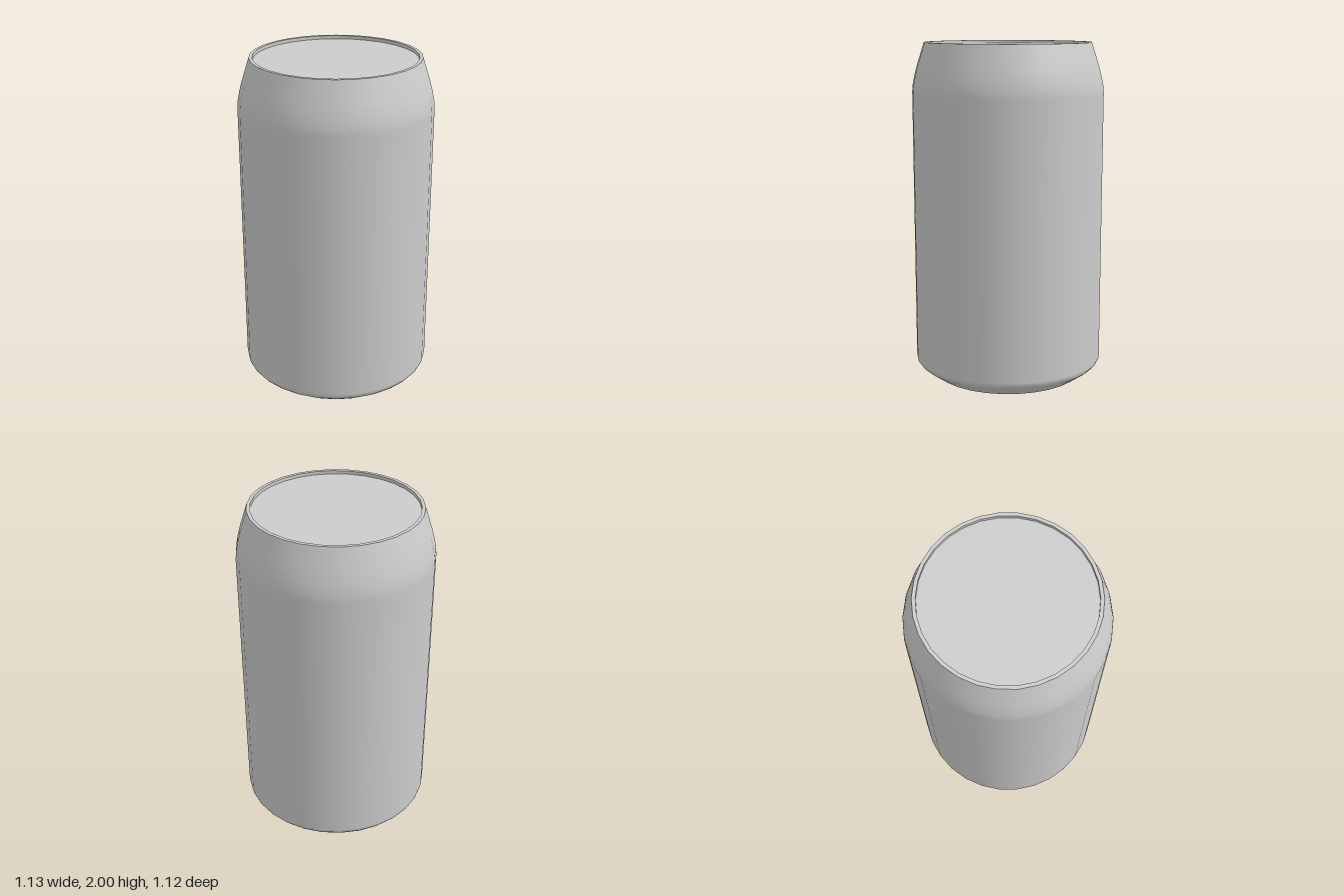
import * as THREE from 'three';

const SIDES = 30;

export function createModel() {
  const model = new THREE.Group();
  model.name = 'can';
  const metal = new THREE.MeshStandardMaterial({ color: 0xcccccc });
  metal.name = 'grey metal';

  // Turns an [radius, height] profile around the y axis, with a corner on +x
  const turn = (name, points) => {
    const profile = points.map(([r, y]) => new THREE.Vector2(r, y));
    const mesh = new THREE.Mesh(new THREE.LatheGeometry(profile, SIDES, Math.PI / 2), metal);
    mesh.name = name;
    model.add(mesh);
  };

  // Chamfered foot, straight wall and curved shoulder
  turn('body', [
    [0.455, 0], [0.545, 0.065], [0.56, 0.083], [0.565, 0.105],
    [0.565, 1.71], [0.561, 1.755], [0.55, 1.81], [0.534, 1.87], [0.492, 2],
  ]);

  // Flat rim and the short wall down to the lid
  turn('rim', [[0.492, 2], [0.472, 2]]);
  turn('rimInnerWall', [[0.472, 2], [0.472, 1.98]]);

  // Recessed lid and flat base
  turn('lid', [[0.472, 1.98], [0, 1.98]]);
  turn('base', [[0, 0], [0.455, 0]]);

  return model;
}
